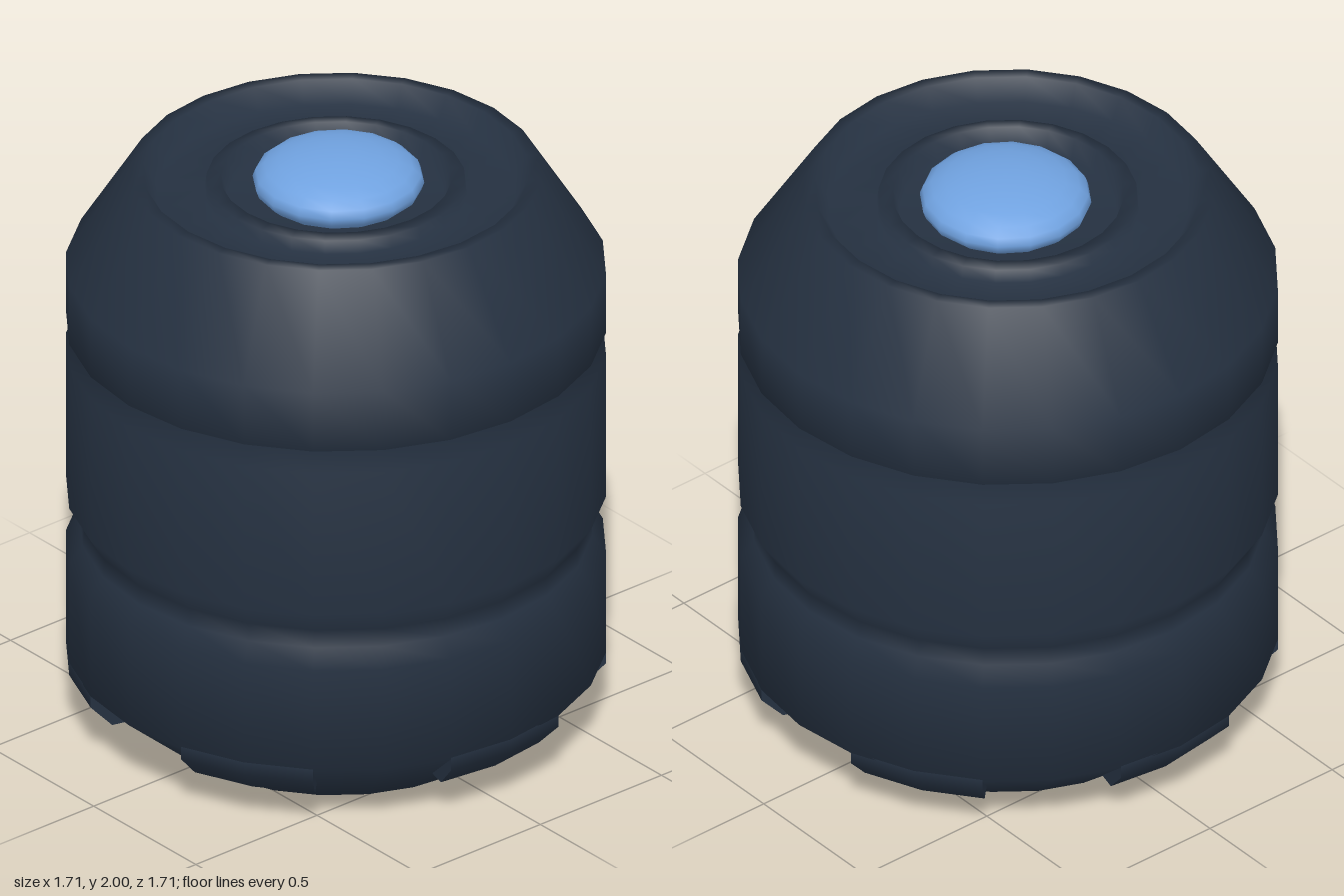
import * as THREE from 'three';

const bodyMat = new THREE.MeshStandardMaterial({ color: 0x253141 });
bodyMat.name = 'dark slate';
const lensMat = new THREE.MeshStandardMaterial({ color: 0x70a2e0 });
lensMat.name = 'sky blue';

const SIDES = 24;
const toPoints = (list) => list.map(([r, y]) => new THREE.Vector2(r, y));

function addMesh(parent, name, geometry, material) {
  const mesh = new THREE.Mesh(geometry, material);
  mesh.name = name;
  parent.add(mesh);
  return mesh;
}

// Thick block under the chamfer, spanning two sides of the body
function createLug(angle) {
  const lug = new THREE.Group();
  lug.name = 'baseLug';
  const span = Math.PI / 6;
  const section = toPoints([[0.7, 0.12], [0.78, 0.12], [0.855, 0.2], [0.855, 0.245]]);
  addMesh(lug, 'lugShell', new THREE.LatheGeometry(section, 2, -span / 2, span), bodyMat);
  // End caps: the section lies in x/y, so turn its x axis to each end angle
  for (const side of [-1, 1]) {
    const cap = new THREE.ShapeGeometry(new THREE.Shape(section));
    if (side > 0) {
      // reverse the corner order so that this cap faces outwards
      cap.setIndex(Array.from(cap.index.array).reverse());
      cap.computeVertexNormals();
    }
    const mesh = addMesh(lug, 'lugEnd', cap, bodyMat);
    mesh.rotation.y = (side * span) / 2 - Math.PI / 2;
  }
  lug.rotation.y = angle;
  return lug;
}

export function createModel() {
  const model = new THREE.Group();
  model.name = 'canister';

  // Grooved shell with a dished top, raised ring and central well
  const profile = toPoints([
    [0, 0], [0.575, 0], [0.855, 0.24],
    [0.855, 0.6], [0.812, 0.66], [0.806, 0.72], [0.855, 0.8],
    [0.855, 1.31], [0.765, 1.35], [0.855, 1.39],
    [0.855, 1.6], [0.65, 1.93],
    [0.61, 1.93], [0.57, 1.86], [0.415, 1.86],
    [0.41, 1.905], [0.365, 1.91], [0.345, 1.84], [0, 1.84],
  ]);
  addMesh(model, 'shell', new THREE.LatheGeometry(profile, SIDES), bodyMat);

  // Six lugs around the base
  for (let i = 0; i < 6; i++) model.add(createLug(Math.PI / 6 + (i * Math.PI) / 3));

  // Domed lens in the well
  const lens = addMesh(model, 'lens', new THREE.SphereGeometry(0.272, 16, 12), lensMat);
  lens.scale.y = 0.1 / 0.272;
  lens.position.set(0, 1.9, -0.01);

  return model;
}
